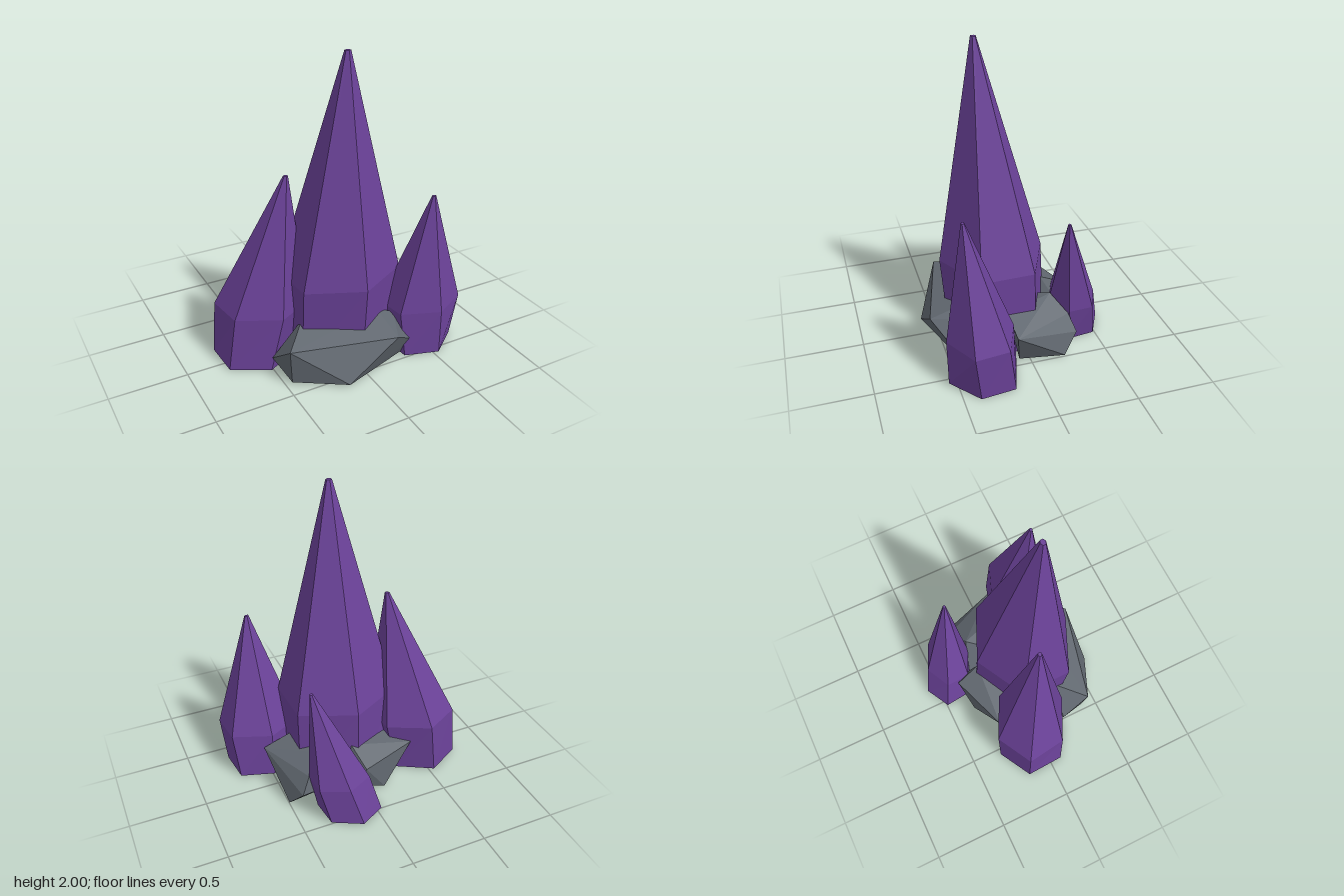
import * as THREE from 'three';
import { ConvexGeometry } from 'three/addons/geometries/ConvexGeometry.js';

const flat = (color, name) => {
  const m = new THREE.MeshStandardMaterial({ color, flatShading: true });
  m.name = name;
  return m;
};

// Six-sided ring around [x, y, z], spanned by its front corner a and right-back corner b (each [x, z])
function hexRing([x, y, z], a, b, s = 1) {
  const half = [a, [a[0] + b[0], a[1] + b[1]], b];
  const corners = [...half, ...half.map(([u, v]) => [-u, -v])];
  return corners.map(([u, v]) => [x + u * s, y, z + v * s]);
}

// Skin stacked hexagonal rings and cap both ends
function crystalGeometry(rings) {
  const pos = [];
  const tri = (...pts) => pts.forEach((p) => pos.push(...p));
  for (let r = 0; r < rings.length - 1; r++) {
    const lo = rings[r], hi = rings[r + 1];
    for (let i = 0; i < 6; i++) {
      const j = (i + 1) % 6;
      tri(lo[i], lo[j], hi[j]);
      tri(lo[i], hi[j], hi[i]);
    }
  }
  const bottom = rings[0], top = rings[rings.length - 1];
  for (let i = 1; i < 5; i++) {
    tri(bottom[0], bottom[i + 1], bottom[i]);
    tri(top[0], top[i], top[i + 1]);
  }
  const g = new THREE.BufferGeometry();
  g.setAttribute('position', new THREE.Float32BufferAttribute(pos, 3));
  g.computeVertexNormals();
  return g;
}

export function createModel() {
  const group = new THREE.Group();
  const purple = flat(0x6b4299, 'crystalPurple');
  const gray = flat(0x616870, 'rockGray');
  const add = (name, geometry, material) => {
    const mesh = new THREE.Mesh(geometry, material);
    mesh.name = name;
    group.add(mesh);
  };

  // Crystals: base and shoulder rings [centre, front corner, right-back corner], tip centre
  const crystals = {
    mainCrystal: {
      base: [[0.02, 0, 0.095], [0.005, 0.335], [0.34, -0.165]],
      shoulder: [[0.015, 0.565, 0.13], [0.01, 0.345], [0.347, -0.187]],
      tip: [0.012, 2, 0.22], taper: 0.05,
    },
    rightCrystal: {
      base: [[-0.525, 0, -0.045], [0.012, 0.255], [0.222, -0.125]],
      shoulder: [[-0.465, 0.36, -0.035], [0.035, 0.262], [0.235, -0.13]],
      tip: [-0.32, 1.25, 0.07], taper: 0.05,
    },
    leftCrystal: {
      base: [[0.513, 0, 0.325], [0.025, 0.225], [0.195, -0.155]],
      shoulder: [[0.51, 0.31, 0.338], [0.025, 0.218], [0.225, -0.122]],
      tip: [0.513, 1.085, 0.43], taper: 0.05,
    },
    backCrystal: {
      base: [[0.15, 0, -0.4], [0.02, 0.185], [0.165, -0.09]],
      shoulder: [[0.207, 0.25, -0.366], [0.008, 0.162], [0.168, -0.084]],
      tip: [0.35, 0.875, -0.28], taper: 0.06,
    },
  };
  for (const [name, { base, shoulder, tip, taper }] of Object.entries(crystals)) {
    const rings = [
      hexRing(...base),
      hexRing(...shoulder),
      hexRing(tip, shoulder[1], shoulder[2], taper),
    ];
    add(name, crystalGeometry(rings), purple);
  }

  // Faceted rocks tucked between the crystals
  const rocks = {
    frontRock: [
      [-0.48, 0.25, 0.42], [-0.155, 0.01, 0.587], [0.19, 0.245, 0.585],
      [0.4, 0.09, 0.45], [0.37, 0.01, 0.42], [-0.46, 0.015, 0.4],
      [-0.51, 0.1, 0.22], [-0.3, 0.32, 0.22], [0.18, 0.32, 0.33],
      [0.3, 0.27, 0.35], [-0.3, 0.01, 0.1], [0.3, 0.01, 0.2],
    ],
    leftRock: [
      [0.55, 0.24, 0.11], [0.45, 0.01, 0.07], [0.5, 0.01, -0.22],
      [0.44, 0.13, -0.32], [0.38, 0.24, -0.28], [0.25, 0.33, -0.2],
      [0.3, 0.29, -0.08], [0.36, 0.3, 0.12], [0.1, 0.01, 0],
      [0.1, 0.28, 0], [0.1, 0.1, -0.25],
    ],
    backRock: [
      [-0.38, 0.24, -0.23], [-0.14, 0.01, -0.327], [0.015, 0.24, -0.37],
      [-0.43, 0.12, -0.12], [-0.33, 0.02, -0.1], [0.1, 0.1, -0.33],
      [0.05, 0.33, -0.2], [-0.25, 0.29, -0.08], [0.1, 0.01, -0.15],
      [-0.2, 0.01, 0.05], [0, 0.28, 0],
    ],
  };
  for (const [name, points] of Object.entries(rocks)) {
    add(name, new ConvexGeometry(points.map((p) => new THREE.Vector3(...p))), gray);
  }
  return group;
}
